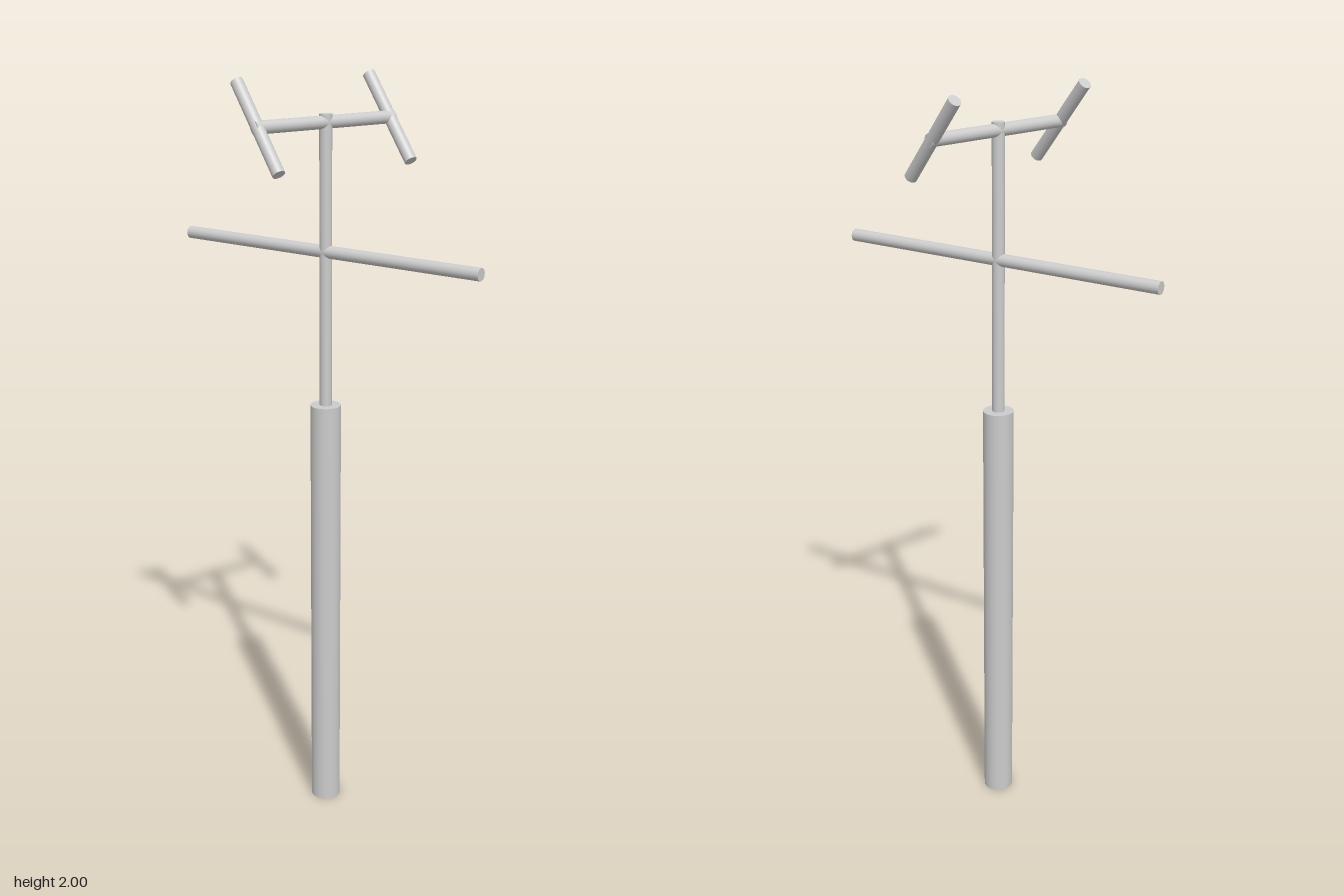
import * as THREE from 'three';

const R = 0.016; // radius of all thin tubing

export function createModel() {
  const model = new THREE.Group();
  const material = new THREE.MeshStandardMaterial({ color: 0xcccccc });

  // Capped round rod running between two points
  function rod(name, from, to, radius, parent) {
    const a = new THREE.Vector3(...from);
    const dir = new THREE.Vector3(...to).sub(a);
    const mesh = new THREE.Mesh(new THREE.CylinderGeometry(radius, radius, dir.length(), 32), material);
    mesh.name = name;
    mesh.position.copy(a).addScaledVector(dir, 0.5);
    mesh.quaternion.setFromUnitVectors(new THREE.Vector3(0, 1, 0), dir.normalize());
    parent.add(mesh);
  }

  // Thick post with a thin mast rising from it
  rod('basePost', [0, 0, 0], [0, 1.17, 0], 0.04, model);
  rod('mast', [0, 1.16, 0], [0, 1.91, 0], R, model);

  // Long horizontal boom
  rod('longBoom', [-0.112, 1.572, -0.438], [0.112, 1.572, 0.438], R, model);

  // Slightly turned head: crossbar with a tilted element near each end
  const head = new THREE.Group();
  head.name = 'head';
  head.position.y = 1.89;
  head.rotation.y = -0.04;
  rod('crossbar', [-0.21, 0, 0], [0.21, 0, 0], R, head);
  for (const [name, x] of [['leftElement', 0.2], ['rightElement', -0.2]]) {
    rod(name, [x, -0.1, 0.086], [x, 0.1, -0.086], R, head);
  }
  model.add(head);

  return model;
}
